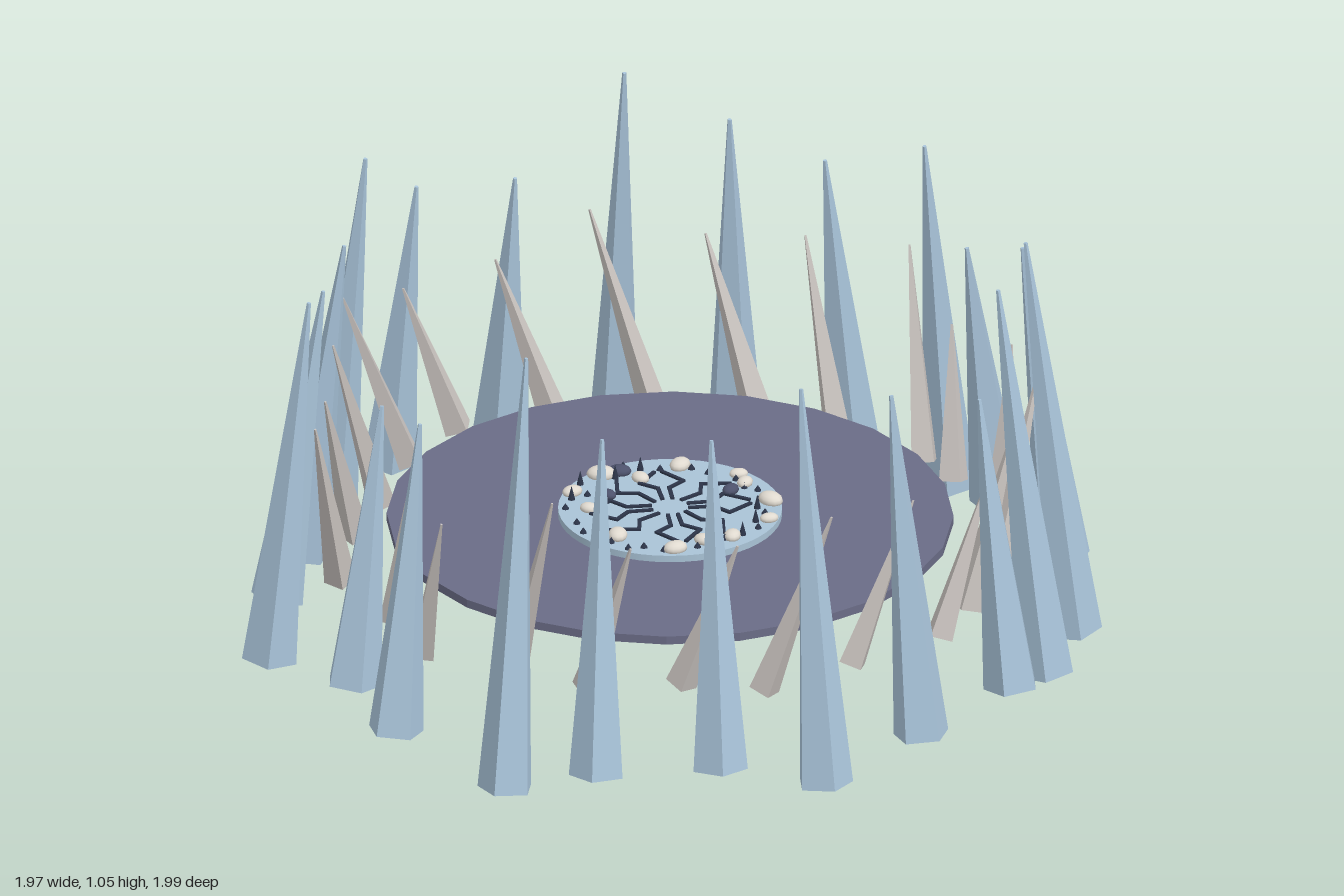
import * as THREE from 'three';

const mat = (name, color, flatShading = false) => {
  const m = new THREE.MeshStandardMaterial({ color, flatShading });
  m.name = name;
  return m;
};

// tapered prism from a base point to a tip, one corner turned outward
function taperedSpike(name, base, tip, radius, tipRadius, sides, material) {
  const axis = tip.clone().sub(base);
  const length = axis.length();
  axis.normalize();
  const out = new THREE.Vector3(base.x, 0, base.z);
  out.addScaledVector(axis, -out.dot(axis)).normalize();
  const side = new THREE.Vector3().crossVectors(axis, out);
  const geo = new THREE.CylinderGeometry(tipRadius, radius, length, sides);
  geo.applyMatrix4(new THREE.Matrix4().makeBasis(side, axis, out));
  const mesh = new THREE.Mesh(geo, material);
  mesh.name = name;
  mesh.position.copy(base).add(tip).multiplyScalar(0.5);
  return mesh;
}

export function createModel() {
  const model = new THREE.Group();
  model.name = 'spikeRing';
  const ice = mat('ice blue', 0xa9c4da, true);
  const bone = mat('pale grey', 0xc8c2be, true);
  const slate = mat('slate', 0x6a6c86, true);
  const inlay = mat('pale blue', 0xa9c3d6);
  const dark = mat('dark navy', 0x2c3448);
  const pebble = mat('ivory', 0xe0dad0);
  const darkPebble = mat('dusk stone', 0x4d526c);

  const add = (name, geo, material, x, y, z, parent = model) => {
    const mesh = new THREE.Mesh(geo, material);
    mesh.name = name;
    mesh.position.set(x, y, z);
    parent.add(mesh);
    return mesh;
  };

  // outer ring of tall spikes: base x, base z, tip x, tip z, tip height
  const spikes = [
    [0.13, -0.94, 0.12, -0.84, 0.91], [0.40, -0.82, 0.34, -0.73, 0.86],
    [0.63, -0.69, 0.57, -0.61, 0.955], [0.74, -0.475, 0.67, -0.395, 0.80],
    [0.89, -0.24, 0.80, -0.22, 0.885], [0.92, 0.03, 0.81, 0.035, 1.02],
    [0.86, 0.27, 0.75, 0.245, 1.0], [0.785, 0.50, 0.71, 0.45, 0.82],
    [0.58, 0.685, 0.51, 0.62, 0.91], [0.36, 0.87, 0.305, 0.775, 1.0],
    [0.12, 0.89, 0.10, 0.80, 0.88], [-0.16, 0.92, -0.15, 0.82, 0.89],
    [-0.37, 0.855, -0.325, 0.745, 1.06], [-0.625, 0.73, -0.57, 0.66, 0.85],
    [-0.725, 0.52, -0.66, 0.46, 0.80], [-0.92, 0.255, -0.83, 0.25, 0.96],
    [-0.90, 0, -0.80, 0, 0.87], [-0.85, -0.24, -0.755, -0.21, 0.885],
    [-0.795, -0.52, -0.71, -0.465, 0.985], [-0.66, -0.695, -0.595, -0.62, 0.84],
    [-0.405, -0.81, -0.37, -0.73, 0.81], [-0.145, -0.87, -0.12, -0.76, 1.065],
  ];
  const spikeRing = new THREE.Group();
  spikeRing.name = 'outerSpikes';
  for (const [bx, bz, tx, tz, top] of spikes) {
    const bottom = 0.088 - 0.4 * (top - 0.89);
    spikeRing.add(taperedSpike('spike', new THREE.Vector3(bx, bottom, bz),
      new THREE.Vector3(tx, top, tz), 0.066, 0.005, 5, ice));
  }
  model.add(spikeRing);

  // inner ring of slanted shards, all leaning the same way round
  const shards = [
    [0.18, -0.75, 0.065, -0.84, 0.62], [0.37, -0.635, 0.295, -0.75, 0.66],
    [0.57, -0.51, 0.535, -0.66, 0.68], [0.64, -0.335, 0.635, -0.45, 0.58],
    [0.745, -0.135, 0.775, -0.26, 0.62], [0.745, 0.09, 0.835, -0.045, 0.64],
    [0.68, 0.28, 0.795, 0.2, 0.66], [0.62, 0.475, 0.73, 0.4, 0.60],
    [0.42, 0.605, 0.56, 0.57, 0.62], [0.22, 0.72, 0.375, 0.745, 0.66],
    [0.03, 0.735, 0.16, 0.775, 0.60], [-0.185, 0.745, -0.085, 0.835, 0.62],
    [-0.36, 0.655, -0.265, 0.795, 0.715], [-0.565, 0.57, -0.52, 0.69, 0.61],
    [-0.635, 0.39, -0.60, 0.51, 0.60], [-0.76, 0.15, -0.815, 0.295, 0.66],
    [-0.73, -0.06, -0.795, 0.065, 0.62], [-0.67, -0.25, -0.78, -0.17, 0.65],
    [-0.61, -0.48, -0.76, -0.40, 0.66], [-0.50, -0.61, -0.625, -0.58, 0.60],
    [-0.28, -0.68, -0.415, -0.695, 0.62], [-0.04, -0.71, -0.2, -0.765, 0.715],
  ];
  const shardRing = new THREE.Group();
  shardRing.name = 'innerShards';
  for (const [bx, bz, tx, tz, top] of shards) {
    const bottom = 0.22 - 0.35 * (top - 0.63);
    shardRing.add(taperedSpike('shard', new THREE.Vector3(bx, bottom, bz),
      new THREE.Vector3(tx, top, tz), 0.037, 0.003, 4, bone));
  }
  model.add(shardRing);

  // floating platform and its central inlay
  add('platform', new THREE.CylinderGeometry(0.65, 0.65, 0.02, 24), slate, -0.005, 0.308, 0.02);
  const centre = new THREE.Group();
  centre.name = 'centrepiece';
  centre.position.set(-0.005, 0.318, 0.018);
  model.add(centre);
  add('inlayDisc', new THREE.CylinderGeometry(0.257, 0.257, 0.016, 48), inlay, 0, 0.008, 0, centre);

  // zigzag cracks radiating from the middle
  const bends = [0, 0.1, -0.08, 0.16];
  const radii = [0.045, 0.1, 0.14, 0.185];
  for (let i = 0; i < 12; i++) {
    const flip = i % 3 === 0 ? -1 : 1;
    const pts = radii.map((r, k) => {
      const a = i * Math.PI / 6 + 0.1 + flip * bends[k] * 1.3;
      return new THREE.Vector2(Math.cos(a) * r, Math.sin(a) * r);
    });
    for (let k = 0; k < 3; k++) {
      const d = pts[k + 1].clone().sub(pts[k]);
      const seg = add('crack', new THREE.BoxGeometry(d.length() + 0.006, 0.006, 0.009), dark,
        (pts[k].x + pts[k + 1].x) / 2, 0.018, (pts[k].y + pts[k + 1].y) / 2, centre);
      seg.rotation.y = -Math.atan2(d.y, d.x);
    }
  }

  // rounded pebbles: x, z, radius
  const stones = (name, list, material) => list.forEach(([x, z, r], i) => {
    const s = add(name, new THREE.SphereGeometry(r, 12, 8), material, x, 0.022, z, centre);
    s.scale.set(1, 0.55, 0.78);
    s.rotation.y = i * 1.1;
  });
  stones('pebble', [
    [-0.16, -0.165, 0.034], [0.02, -0.215, 0.029], [-0.07, -0.145, 0.024], [0.155, -0.17, 0.022],
    [0.17, -0.125, 0.023], [0.23, -0.035, 0.032], [0.228, 0.065, 0.022], [0.145, 0.158, 0.025],
    [0.08, 0.182, 0.025], [0.015, 0.225, 0.029], [-0.118, 0.158, 0.029], [-0.185, 0.018, 0.023],
    [-0.225, -0.07, 0.025],
  ], pebble);
  stones('darkPebble', [[-0.118, -0.18, 0.027], [0.138, -0.085, 0.023], [-0.142, -0.055, 0.021]], darkPebble);

  // small dark thorns near the rim
  for (let i = 0; i < 30; i++) {
    const a = i * 2.4;
    const r = 0.2 + 0.04 * ((i * 7) % 5) / 4;
    const h = i % 4 === 0 ? 0.034 : 0.014;
    add('thorn', new THREE.ConeGeometry(0.009, h, 6), dark,
      Math.cos(a) * r, 0.016 + h / 2, Math.sin(a) * r, centre);
  }
  return model;
}
